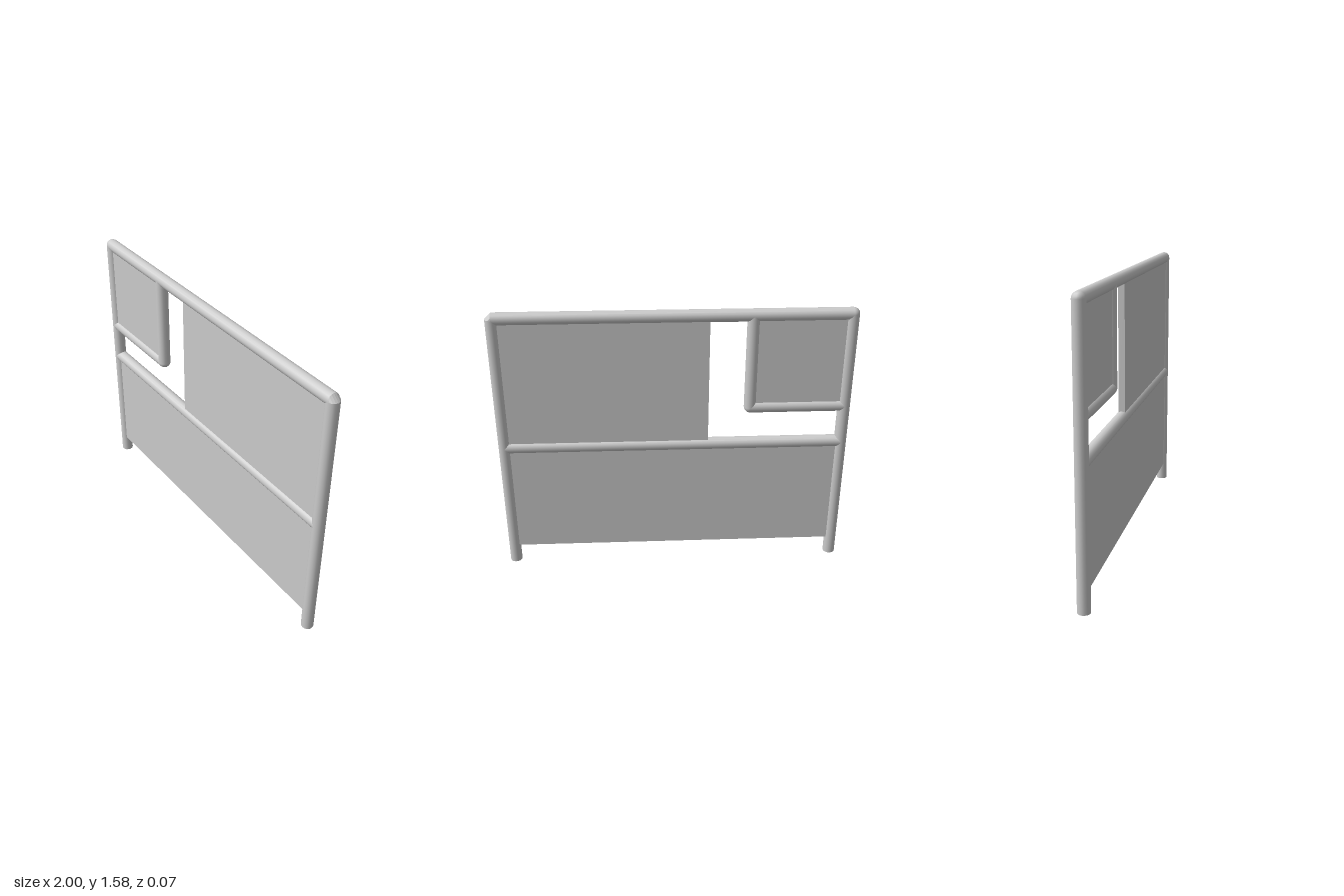
import * as THREE from 'three';

const R = 0.035;        // tube radius
const POST_X = 0.965;   // post centre lines
const TOP = 1.54, MID = 0.772, LOW = 1.0;   // rail heights
const DIVIDER_X = -0.43;
const PANEL_DEPTH = 0.036;

export function createModel() {
  const group = new THREE.Group();
  const material = new THREE.MeshStandardMaterial({ color: 0xcccccc });
  const facetedMaterial = new THREE.MeshStandardMaterial({ color: 0xcccccc, flatShading: true });

  const add = (name, geometry, x, y, mat = material) => {
    const mesh = new THREE.Mesh(geometry, mat);
    mesh.name = name;
    mesh.position.set(x, y, 0);
    group.add(mesh);
  };

  // Straight round tubes
  const upright = (name, x, y0, y1) =>
    add(name, new THREE.CylinderGeometry(R, R, y1 - y0, 16), x, (y0 + y1) / 2);
  const rail = (name, y, x0, x1) =>
    add(name, new THREE.CylinderGeometry(R, R, x1 - x0, 16).rotateZ(Math.PI / 2), (x0 + x1) / 2, y);

  // Elbow joint turning about z; four sides gives a chamfered corner
  const corner = (name, x, y, sides, mat) =>
    add(name, new THREE.SphereGeometry(R, sides, 8).rotateX(Math.PI / 2), x, y, mat);

  const panel = (name, x0, x1, y0, y1) =>
    add(name, new THREE.BoxGeometry(x1 - x0, y1 - y0, PANEL_DEPTH), (x0 + x1) / 2, (y0 + y1) / 2);

  // Outer frame
  upright('rightPost', -POST_X, 0, TOP);
  upright('leftPost', POST_X, 0, TOP);
  rail('topRail', TOP, -POST_X, POST_X);
  rail('middleRail', MID, -POST_X, POST_X);
  corner('rightTopCorner', -POST_X, TOP, 16);
  corner('leftTopCorner', POST_X, TOP, 4, facetedMaterial);

  // Small frame in the upper corner
  upright('smallFrameUpright', DIVIDER_X, LOW, TOP);
  rail('smallFrameRail', LOW, -POST_X, DIVIDER_X);
  corner('smallFrameCorner', DIVIDER_X, LOW, 12);

  // Infill panels
  panel('lowerPanel', -POST_X + 0.02, POST_X - 0.02, 0.11, MID);
  panel('upperPanel', -0.195, POST_X - 0.02, MID, TOP);
  panel('smallPanel', -POST_X + 0.02, DIVIDER_X, LOW, TOP);

  return group;
}
